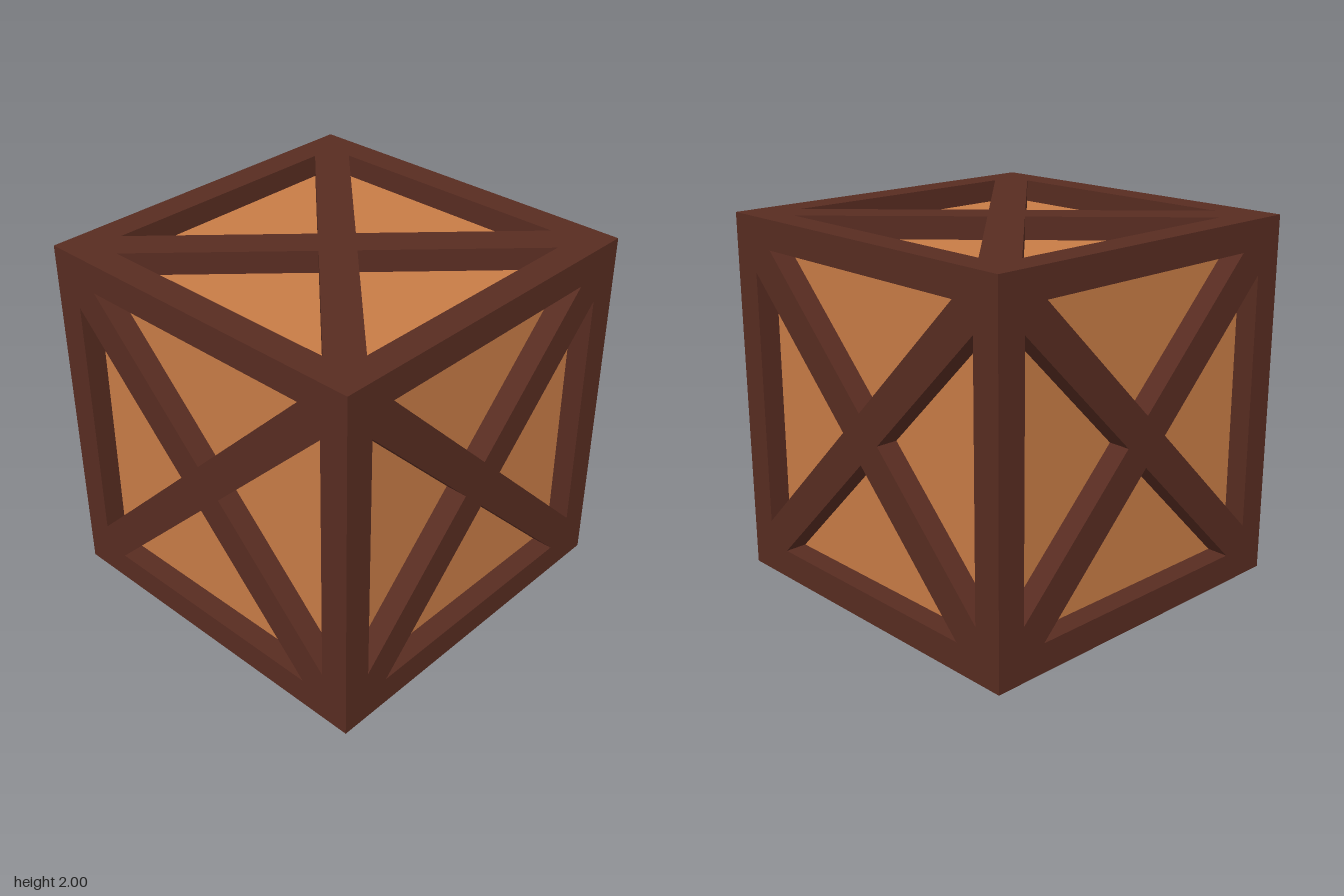
import * as THREE from 'three';

const HALF = 1;        // half the crate's side
const OPEN = 0.84;     // half the opening inside the border
const GAP = 0.136;     // offset of an opening's apex from the face centre
const DEPTH = 0.122;   // how far the panels sit behind the frame

// One face frame: square border with crossed braces, mitred at its outer edges
function faceFrameGeometry() {
  const shape = new THREE.Shape([[-1, -1], [1, -1], [1, 1], [-1, 1]]
    .map(([x, y]) => new THREE.Vector2(x * HALF, y * HALF)));

  // Four triangular openings between the braces
  for (let i = 0; i < 4; i++) {
    const corners = [[0, GAP], [-(OPEN - GAP), OPEN], [OPEN - GAP, OPEN]]
      .map(([x, y]) => new THREE.Vector2(x, y).rotateAround(new THREE.Vector2(), i * Math.PI / 2));
    shape.holes.push(new THREE.Path(corners));
  }

  const geometry = new THREE.ExtrudeGeometry(shape, { depth: DEPTH, bevelEnabled: false });
  geometry.translate(0, 0, HALF - DEPTH);

  // Pull the rear outer edges in so neighbouring frames meet in a mitre
  const p = geometry.attributes.position;
  const mitre = (v) => (Math.abs(v) > HALF - 0.01 ? Math.sign(v) * (HALF - DEPTH) : v);
  for (let i = 0; i < p.count; i++) {
    if (p.getZ(i) < HALF - DEPTH / 2) p.setXY(i, mitre(p.getX(i)), mitre(p.getY(i)));
  }
  geometry.computeVertexNormals();
  return geometry;
}

export function createModel() {
  const crate = new THREE.Group();
  crate.name = 'crate';
  const darkWood = new THREE.MeshStandardMaterial({ color: 0x582c21 });
  const lightWood = new THREE.MeshStandardMaterial({ color: 0xc87c46 });

  // Recessed panels
  const side = 2 * (HALF - DEPTH);
  const panels = new THREE.Mesh(new THREE.BoxGeometry(side, side, side), lightWood);
  panels.name = 'panels';
  panels.position.y = HALF;
  crate.add(panels);

  // The same braced frame on all six faces
  const geometry = faceFrameGeometry();
  const q = Math.PI / 2;
  const faces = {
    front: [0, 0], left: [0, q], back: [0, 2 * q], right: [0, -q], top: [-q, 0], bottom: [q, 0],
  };
  for (const [name, [rx, ry]] of Object.entries(faces)) {
    const frame = new THREE.Mesh(geometry, darkWood);
    frame.name = `${name}Frame`;
    frame.rotation.set(rx, ry, 0);
    frame.position.y = HALF;
    crate.add(frame);
  }
  return crate;
}
